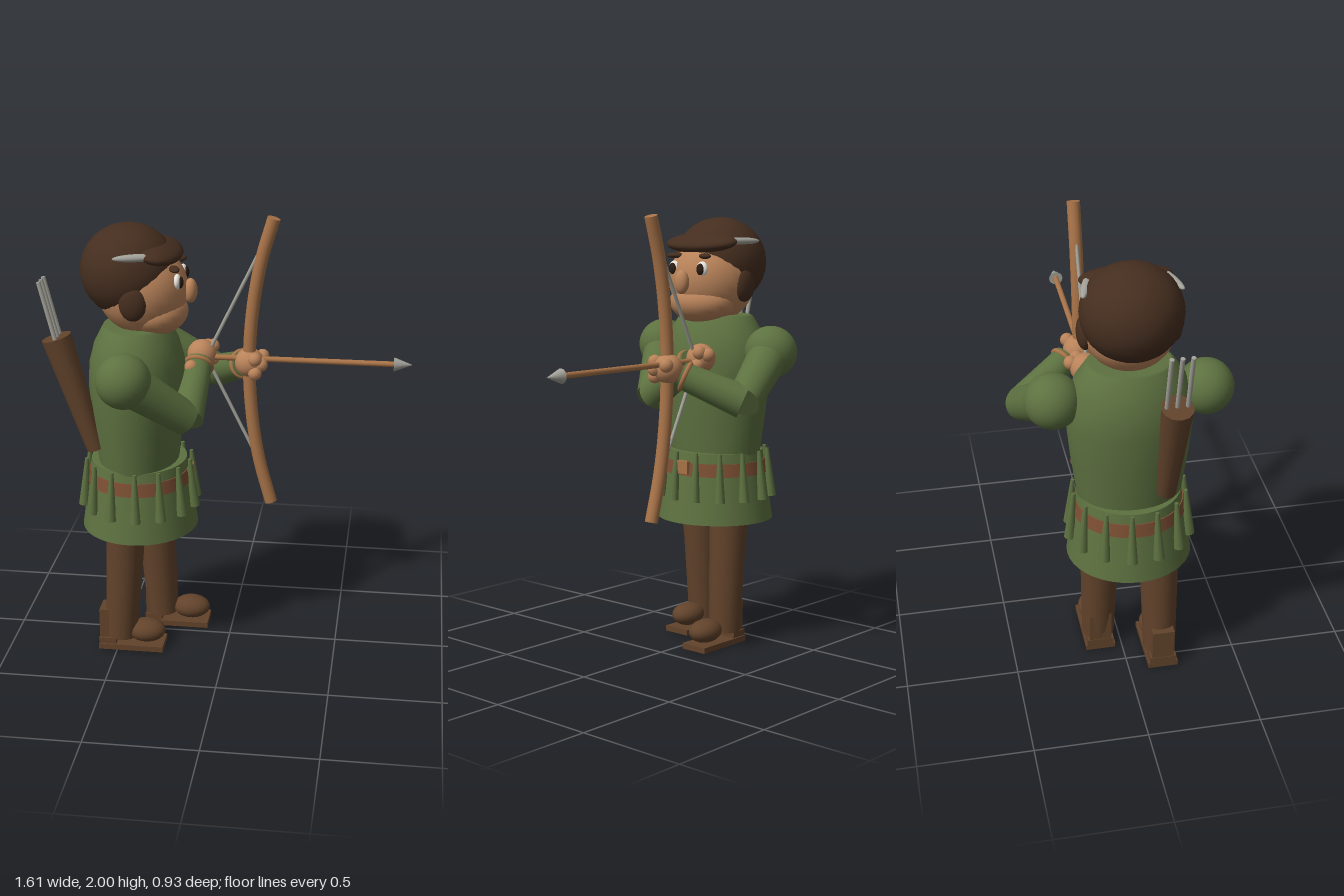
import * as THREE from 'three';

const mat = (name, color) => {
  const m = new THREE.MeshStandardMaterial({ color });
  m.name = name;
  return m;
};

export function createModel() {
  const root = new THREE.Group();
  root.name = 'archer';
  const green = mat('tunic green', 0x5d7140);
  const skin = mat('skin', 0xb9835a);
  const hairMat = mat('hair brown', 0x452e1f);
  const trouser = mat('trouser brown', 0x62432b);
  const leather = mat('belt leather', 0x7d4f33);
  const wood = mat('bow wood', 0xa87348);
  const grey = mat('steel grey', 0xa3a299);
  const white = mat('eye white', 0xeeeae2);
  const dark = mat('pupil', 0x2a1c14);
  const CX = -0.41, CZ = 0.025; // body axis

  const add = (name, geo, m, pos = [0, 0, 0], parent = root) => {
    const mesh = new THREE.Mesh(geo, m);
    mesh.name = name;
    mesh.position.set(...pos);
    parent.add(mesh);
    return mesh;
  };
  const ball = (name, pos, r, m, seg = 32) => {
    const b = add(name, new THREE.SphereGeometry(1, seg, seg / 2), m, pos);
    b.scale.set(...(Array.isArray(r) ? r : [r, r, r]));
    return b;
  };
  const box = (name, pos, size, m) => add(name, new THREE.BoxGeometry(...size), m, pos);
  // Tapered cylinder from point a (radius ra) to point b (radius rb)
  const rod = (name, a, b, ra, rb, m, seg = 24) => {
    const A = new THREE.Vector3(...a), B = new THREE.Vector3(...b);
    const d = B.clone().sub(A);
    const mesh = add(name, new THREE.CylinderGeometry(rb, ra, d.length(), seg), m);
    mesh.position.copy(A).add(B).multiplyScalar(0.5);
    mesh.quaternion.setFromUnitVectors(new THREE.Vector3(0, 1, 0), d.normalize());
    return mesh;
  };
  const lathe = (name, pts, m, sx) => {
    const g = new THREE.LatheGeometry(pts.map(p => new THREE.Vector2(...p)), 40);
    const mesh = add(name, g, m, [CX, 0, CZ]);
    mesh.scale.x = sx;
    return mesh;
  };

  // Torso, skirt and belt
  lathe('torso', [[0.22, 0.85], [0.23, 0.92], [0.255, 1.1], [0.272, 1.27], [0.265, 1.37],
    [0.235, 1.46], [0.185, 1.535], [0.17, 1.54], [0, 1.54]], green, 0.79);
  const skirt = add('skirt', new THREE.CylinderGeometry(0.225, 0.275, 0.325, 40), green, [CX, 0.7475, CZ]);
  skirt.scale.x = 0.96;
  const belt = add('belt', new THREE.CylinderGeometry(0.237, 0.246, 0.06, 40), leather, [CX, 0.835, CZ]);
  belt.scale.x = 0.96;
  box('buckle', [CX + 0.235, 0.845, CZ], [0.02, 0.06, 0.075], wood);

  // Tassels hanging round the waist
  for (let i = 0; i < 14; i++) {
    const t = (i + 0.3) / 14 * Math.PI * 2, c = Math.cos(t), s = Math.sin(t);
    rod('tassel', [CX + 0.258 * c, 0.69, CZ + 0.268 * s], [CX + 0.238 * c, 0.915, CZ + 0.248 * s],
      0.025, 0.009, green, 10);
  }

  // Head: face, jaw, nose
  ball('face', [-0.38, 1.7, CZ], 0.2, skin);
  ball('jaw', [-0.315, 1.6, CZ], [0.135, 0.1, 0.165], skin);
  ball('nose', [-0.168, 1.695, CZ], [0.03, 0.055, 0.036], skin);
  // Hair with fringe
  ball('hair', [-0.438, 1.78, CZ], [0.212, 0.205, 0.215], hairMat);
  ball('fringe', [-0.305, 1.87, CZ], [0.105, 0.043, 0.195], hairMat).rotation.z = -0.2;
  for (const s of [1, -1]) {
    ball('sideLock', [-0.39, 1.68, CZ + s * 0.185], [0.06, 0.077, 0.035], hairMat);
    ball('greyStreak', [-0.37, 1.878, CZ + s * 0.173], [0.105, 0.017, 0.02], grey).rotation.y = s * 0.3;
    ball('eye', [-0.213, 1.755, CZ + s * 0.083], [0.018, 0.034, 0.03], white);
    ball('pupil', [-0.199, 1.753, CZ + s * 0.083], [0.013, 0.026, 0.02], dark);
    const brow = ball('eyebrow', [-0.225, 1.812, CZ + s * 0.088], [0.022, 0.013, 0.042], hairMat);
    brow.rotation.y = s * 0.4;
  }

  // Arms: shoulder, upper arm, forearm, cuff, hand and fingers
  const arm = (side, shoulder, elbow, wrist, hand, fingers) => {
    ball(side + 'Shoulder', shoulder, 0.12, green);
    rod(side + 'UpperArm', shoulder, elbow, 0.095, 0.075, green);
    rod(side + 'Forearm', elbow, wrist, 0.075, 0.06, green);
    const w = new THREE.Vector3(...wrist);
    const dir = w.clone().sub(new THREE.Vector3(...elbow)).normalize();
    const cuff = add(side + 'Cuff', new THREE.TorusGeometry(0.06, 0.011, 10, 28), wood);
    cuff.position.copy(w).addScaledVector(dir, -0.02);
    cuff.quaternion.setFromUnitVectors(new THREE.Vector3(0, 0, 1), dir);
    ball(side + 'Hand', hand, 0.066, skin);
    for (const f of fingers) {
      ball(side + 'Finger', f.map((v, i) => v + hand[i]), 0.031, skin, 16);
    }
  };
  arm('right', [CX, 1.38, 0.35], [-0.165, 1.165, 0.2], [-0.145, 1.34, -0.06], [-0.14, 1.36, -0.115],
    [[0.02, 0.02, -0.06], [0.045, 0.03, -0.03], [0.045, -0.025, -0.02], [-0.03, -0.02, 0.13]]);
  arm('left', [CX, 1.38, -0.3], [-0.105, 1.19, -0.39], [0.05, 1.305, -0.165], [0.075, 1.33, -0.11],
    [[0.03, 0.03, 0.05], [0.055, 0, 0.03], [0.03, -0.035, 0.05], [0.055, 0.02, -0.04]]);

  // Legs with short upper cuffs, and shoes
  const leg = (side, z, hipX, footX, soleX) => {
    rod(side + 'Leg', [footX, 0.06, z], [hipX, 0.7, z - Math.sign(z - CZ) * 0.005], 0.073, 0.092, trouser);
    const k = (0.49 - 0.06) / 0.64, x = footX + (hipX - footX) * k;
    rod(side + 'LegCuff', [x, 0.48, z], [hipX, 0.7, z], 0.084, 0.094, trouser);
    box(side + 'Sole', [soleX, 0.018, z], [0.3, 0.026, 0.135], trouser);
    box(side + 'Heel', [soleX - 0.11, 0.045, z], [0.08, 0.03, 0.12], trouser);
    box(side + 'HeelGuard', [soleX - 0.09, 0.13, z], [0.115, 0.14, 0.1], trouser);
    ball(side + 'Toe', [soleX + 0.065, 0.085, z], [0.088, 0.053, 0.068], trouser);
  };
  leg('right', 0.157, -0.45, -0.487, -0.435);
  leg('left', -0.1, -0.37, -0.335, -0.262);

  // Bow, string and drawn arrow
  const BZ = -0.105;
  const bowPts = [[0.178, 1.99], [0.125, 1.8], [0.088, 1.57], [0.075, 1.33], [0.088, 1.09],
    [0.122, 0.87], [0.178, 0.66]].map(p => new THREE.Vector3(p[0], p[1], BZ));
  add('bow', new THREE.TubeGeometry(new THREE.CatmullRomCurve3(bowPts), 40, 0.029, 16), wood);
  for (const i of [0, 6]) {
    const p = bowPts[i], d = p.clone().sub(bowPts[i ? 5 : 1]).normalize().multiplyScalar(0.004);
    rod('bowTip', p.clone().sub(d).toArray(), p.clone().add(d).toArray(), 0.029, 0.029, wood, 16);
  }
  for (const e of [[0.145, 1.9, BZ], [0.13, 0.84, BZ]]) {
    rod('bowString', [-0.12, 1.35, BZ], e, 0.008, 0.008, grey, 8);
  }
  rod('arrowShaft', [-0.16, 1.35, BZ], [0.73, 1.35, BZ], 0.013, 0.013, wood, 12);
  rod('arrowHead', [0.72, 1.35, BZ], [0.8, 1.35, BZ], 0.032, 0.001, grey, 16);

  // Quiver with spare arrows on the back
  rod('quiver', [-0.582, 0.985, 0.15], [-0.742, 1.5, 0.15], 0.042, 0.068, trouser, 12);
  for (const dz of [-0.043, 0, 0.043]) {
    rod('quiverArrow', [-0.725, 1.45, 0.15 + dz], [-0.8, 1.757, 0.15 + dz], 0.01, 0.01, grey, 10);
  }
  return root;
}
